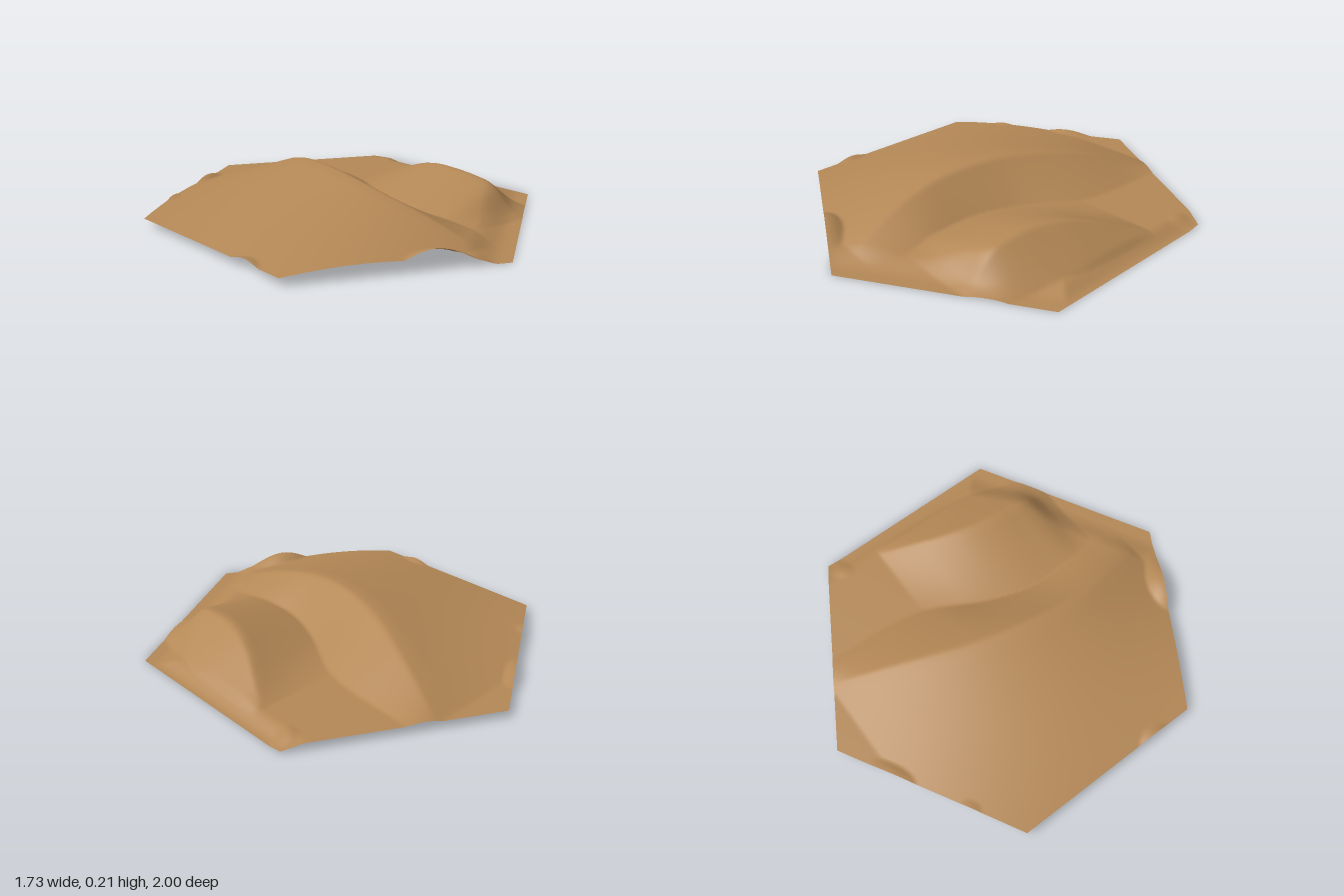
import * as THREE from 'three';
import { mergeVertices } from 'three/addons/utils/BufferGeometryUtils.js';

// Smooth curve through [z, value] pairs
function curve(...pts) {
  const c = new THREE.CubicInterpolant(
    new Float32Array(pts.map(p => p[0])), new Float32Array(pts.map(p => p[1])), 1);
  return t => c.evaluate(t)[0];
}
const smooth = (a, b, t) => THREE.MathUtils.smoothstep(t, a, b);
const clamp01 = t => Math.min(1, Math.max(0, t));

// A dune: crest line, foot of the steep lee face, crest height, and windward run-up
const bigDune = {
  crest: curve([-1, 0.36], [-0.8, 0.27], [-0.5, 0.13], [-0.2, 0], [0.1, -0.08], [0.35, -0.11], [0.6, -0.09], [0.9, -0.04]),
  foot: curve([-1, 0.42], [-0.7, 0.4], [-0.4, 0.38], [-0.2, 0.33], [0.05, 0.21], [0.3, 0.14], [0.6, 0.15], [0.85, 0.08]),
  height: z => 0.187 * Math.max(0, 1 - (z / 0.85) ** 2),
  start: () => -0.87,
};
const smallDune = {
  crest: curve([-0.25, 0.75], [-0.1, 0.67], [0.05, 0.59], [0.25, 0.52], [0.45, 0.5], [0.7, 0.5]),
  foot: curve([-0.25, 0.8], [0, 0.79], [0.2, 0.78], [0.4, 0.74], [0.55, 0.7], [0.7, 0.66]),
  height: curve([-0.25, 0], [-0.2, 0.02], [-0.1, 0.06], [0, 0.096], [0.14, 0.13], [0.27, 0.14], [0.4, 0.133], [0.54, 0.102], [0.64, 0.03], [0.7, 0]),
  start: z => smallDune.crest(z) - 0.46,
};

function duneHeight(d, x, z) {
  const c = d.crest(z), f = d.foot(z), s = d.start(z);
  const up = clamp01((x - s) / (c - s));
  const lee = clamp01((f - x) / (f - c));
  // slightly rounded crest and toe
  const a = x < c ? up : lee;
  const rounded = a > 0.9 ? 0.9 + (a - 0.9) - 5 * (a - 0.9) ** 2 * 0.8 : a;
  return Math.max(0, d.height(z)) * rounded;
}

// Little drifts on the rim: x, z, height, radius along the rim, radius inward, rim angle
const drifts = [
  [-0.3, 0.83, 0.062, 0.19, 0.13, -Math.PI / 6],
  [-0.28, -0.84, 0.026, 0.16, 0.07, Math.PI / 6],
  [-0.61, -0.65, 0.028, 0.12, 0.1, Math.PI / 6],
  [-0.866, 0.28, 0.02, 0.1, 0.07, Math.PI / 2],
  [0.82, -0.47, 0.012, 0.1, 0.06, Math.PI / 5],
];
function driftHeight([cx, cz, h, ru, rv, a], x, z) {
  const dx = x - cx, dz = z - cz;
  const u = (dx * Math.cos(a) - dz * Math.sin(a)) / ru;
  const v = (dx * Math.sin(a) + dz * Math.cos(a)) / rv;
  const r = Math.min(1, Math.hypot(u, v));
  return h * (1 - r * r) ** 1.5;
}

function groundHeight(x, z) {
  // flat ground, dropping away along the front right and right rims
  const dFront = 0.866 - (0.5 * x + 0.866 * z);
  const dropFront = (1 - smooth(0.05, 0.2, dFront)) * smooth(-0.2, -0.05, x);
  const dropRight = smooth(0.75, 0.86, x) * smooth(-0.58, -0.48, z);
  const base = 0.037 - 0.034 * Math.max(dropFront, dropRight);
  const dunes = Math.max(duneHeight(bigDune, x, z), duneHeight(smallDune, x, z));
  const drift = Math.max(...drifts.map(d => driftHeight(d, x, z)));
  return base + Math.max(dunes, drift);
}

// Hexagonal sheet of six triangular wedges, corners on the z axis
function hexSheet(n) {
  const pos = [];
  const corner = k => [Math.sin(k * Math.PI / 3), Math.cos(k * Math.PI / 3)];
  for (let k = 0; k < 6; k++) {
    const A = corner(k), B = corner(k + 1);
    const put = (i, j) => {
      const x = (A[0] * i + B[0] * j) / n, z = (A[1] * i + B[1] * j) / n;
      pos.push(x, groundHeight(x, z), z);
    };
    for (let i = 0; i < n; i++) {
      for (let j = 0; i + j < n; j++) {
        put(i, j); put(i + 1, j); put(i, j + 1);
        if (i + j < n - 1) { put(i + 1, j); put(i + 1, j + 1); put(i, j + 1); }
      }
    }
  }
  const g = new THREE.BufferGeometry();
  g.setAttribute('position', new THREE.Float32BufferAttribute(pos, 3));
  const merged = mergeVertices(g, 1e-4);
  merged.computeVertexNormals();
  return merged;
}

export function createModel() {
  const group = new THREE.Group();
  group.name = 'desertTile';
  const sand = new THREE.MeshStandardMaterial({ color: 0xb48856, side: THREE.DoubleSide });
  sand.name = 'sand';
  const dunes = new THREE.Mesh(hexSheet(72), sand);
  dunes.name = 'sandDunes';
  group.add(dunes);
  return group;
}
